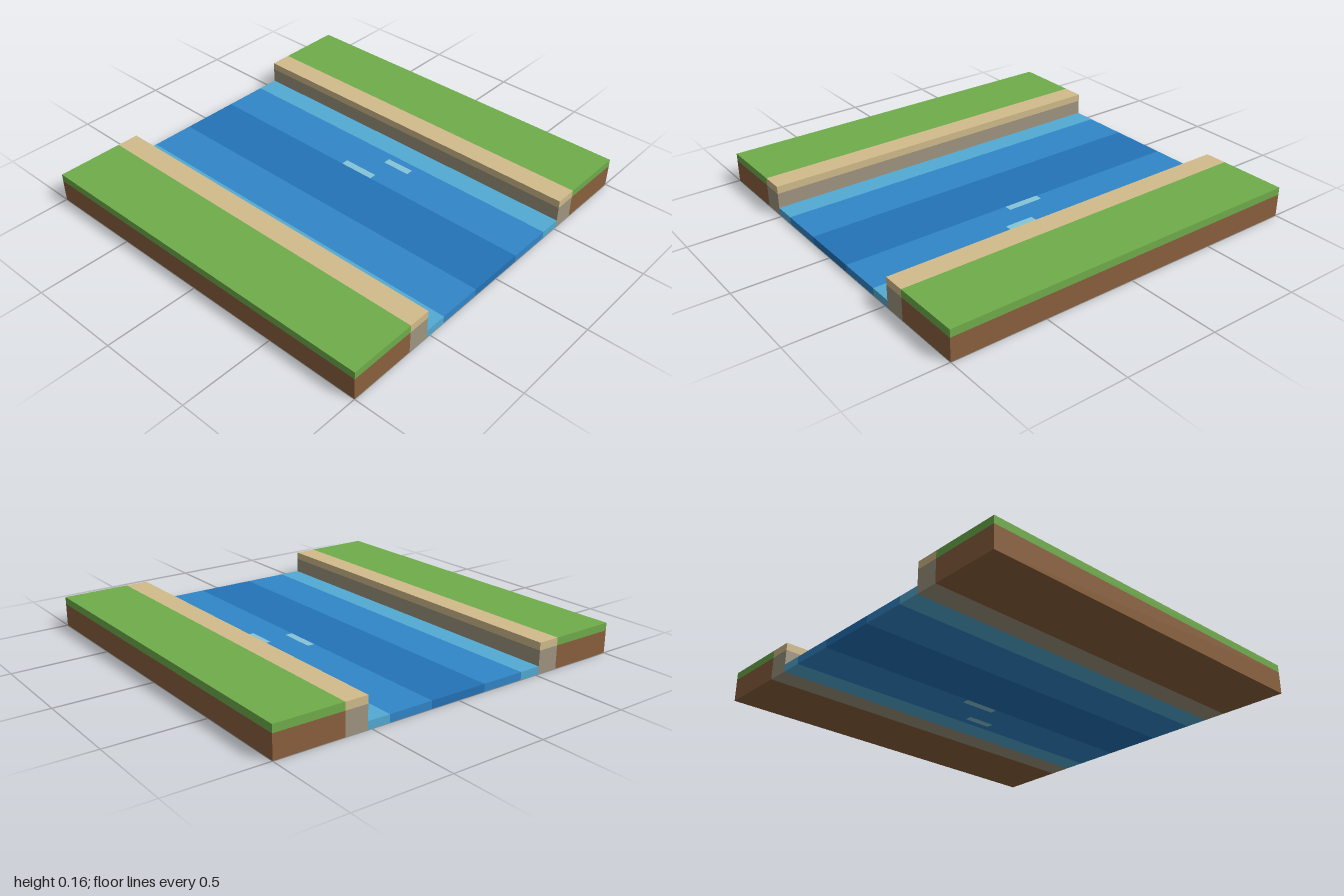
import * as THREE from 'three';

const material = (color) => new THREE.MeshStandardMaterial({ color, flatShading: true });
const GRASS = material(0x70ad4b), SOIL = material(0x8b613d), SAND = material(0xd2bc8c), STONE = material(0xa09580);
const SHALLOW = material(0x53abd4), WATER = material(0x3187c9), DEEP = material(0x2473b8), FOAM = material(0x86c5d8);

const BED = 0.04; // height of the water
const SOIL_TOP = 0.12, BANK_TOP = 0.16;

// Box given by its limits on each axis
function block(name, mat, [x0, x1], [y0, y1], [z0, z1]) {
  const geometry = new THREE.BoxGeometry(x1 - x0, y1 - y0, z1 - z0);
  geometry.translate((x0 + x1) / 2, (y0 + y1) / 2, (z0 + z1) / 2);
  const mesh = new THREE.Mesh(geometry, mat);
  mesh.name = name;
  return mesh;
}

export function createModel() {
  const model = new THREE.Group();
  model.name = 'riverTile';
  const length = [-1, 1], water = [0, BED];

  // Both banks and the shallow water along them
  for (const side of [1, -1]) {
    const bank = new THREE.Group();
    bank.name = side > 0 ? 'frontBank' : 'backBank';
    const span = (a, b) => (side > 0 ? [a, b] : [-b, -a]);
    bank.add(
      block('soil', SOIL, length, [0, SOIL_TOP], span(0.64, 1)),
      block('grass', GRASS, length, [SOIL_TOP, BANK_TOP], span(0.64, 1)),
      block('stoneEdge', STONE, length, [0, SOIL_TOP], span(0.52, 0.64)),
      block('sandEdge', SAND, length, [SOIL_TOP, BANK_TOP], span(0.52, 0.64)),
      block('shallowWater', SHALLOW, length, water, span(0.4, 0.52)),
    );
    model.add(bank);
  }

  // Middle channel and front current
  model.add(block('deepWater', DEEP, length, water, [-0.16, 0.16]));
  model.add(block('frontCurrent', WATER, length, water, [0.16, 0.4]));

  // Back current, with a notch and a hole where the foam sits (shape y is -z)
  const points = (list) => list.map(([x, y]) => new THREE.Vector2(x, y));
  const current = new THREE.Shape(points([
    [-1, 0.16], [-0.12, 0.16], [-0.12, 0.2], [0.08, 0.2], [0.08, 0.16], [1, 0.16], [1, 0.4], [-1, 0.4],
  ]));
  current.holes.push(new THREE.Path(points([[0.04, 0.32], [0.04, 0.36], [0.2, 0.36], [0.2, 0.32]])));
  const currentGeometry = new THREE.ExtrudeGeometry(current, { depth: BED, bevelEnabled: false });
  currentGeometry.rotateX(-Math.PI / 2);
  const backCurrent = new THREE.Mesh(currentGeometry, WATER);
  backCurrent.name = 'backCurrent';
  model.add(backCurrent);

  // Foam streaks, flush with the water
  model.add(block('foamStreakNear', FOAM, [-0.12, 0.08], water, [-0.2, -0.16]));
  model.add(block('foamStreakFar', FOAM, [0.04, 0.2], water, [-0.36, -0.32]));

  return model;
}
